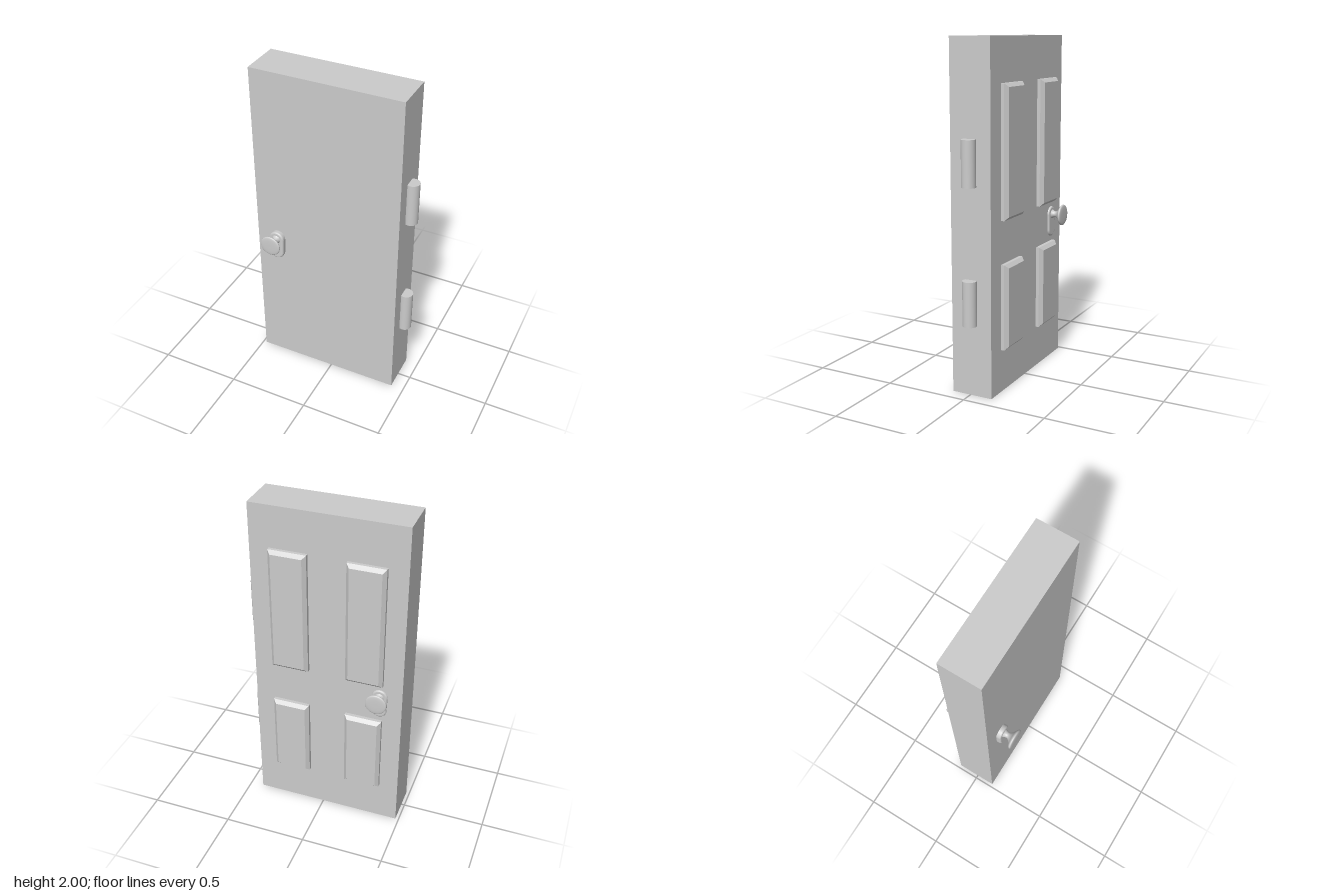
import * as THREE from 'three';

const material = new THREE.MeshStandardMaterial({ color: 0xcccccc });

function addMesh(parent, name, geometry, x = 0, y = 0, z = 0) {
  const mesh = new THREE.Mesh(geometry, material);
  mesh.name = name;
  mesh.position.set(x, y, z);
  parent.add(mesh);
  return mesh;
}

// Raised panel with a chamfered rim; its base is sunk into the slab
function panelGeometry(width, height) {
  const bevel = 0.02;
  const w = width / 2 - bevel, h = height / 2 - bevel;
  const shape = new THREE.Shape([
    new THREE.Vector2(-w, -h), new THREE.Vector2(w, -h),
    new THREE.Vector2(w, h), new THREE.Vector2(-w, h),
  ]);
  return new THREE.ExtrudeGeometry(shape, {
    depth: 0.04, bevelEnabled: true, bevelSize: bevel, bevelThickness: bevel, bevelSegments: 1,
  });
}

// Long rounded backplate, slightly narrower at the bottom
function plateGeometry() {
  const bevel = 0.01;
  const shape = new THREE.Shape();
  shape.absarc(0, 0, 0.047 - bevel, 0, Math.PI, false);
  shape.absarc(0, -0.095, 0.043 - bevel, Math.PI, Math.PI * 2, false);
  shape.closePath();
  return new THREE.ExtrudeGeometry(shape, {
    depth: 0.03, bevelEnabled: true, bevelSize: bevel, bevelThickness: bevel,
    bevelSegments: 4, curveSegments: 20,
  });
}

// Flared knob turned around its axis, with a softly domed face
function knobGeometry() {
  const flare = new THREE.SplineCurve([
    [0.034, 0.135], [0.023, 0.15], [0.018, 0.165], [0.022, 0.178], [0.037, 0.192],
    [0.056, 0.203], [0.063, 0.211], [0.06, 0.218], [0.045, 0.221], [0.02, 0.222], [0, 0.222],
  ].map(([r, d]) => new THREE.Vector2(r, d)));
  const points = flare.getPoints(40);
  points.forEach((p) => { p.x = Math.max(p.x, 0); });
  return new THREE.LatheGeometry(points, 40).rotateX(Math.PI / 2);
}

export function createModel() {
  const door = new THREE.Group();
  door.name = 'door';

  // Slab
  addMesh(door, 'doorSlab', new THREE.BoxGeometry(0.9, 2, 0.249), -0.03, 1, -0.0105);

  // Four raised panels on the back
  for (const x of [-0.255, 0.193]) {
    for (const [name, y, height] of [['upperPanel', 1.377, 0.75], ['lowerPanel', 0.502, 0.5]]) {
      addMesh(door, name, panelGeometry(0.223, height), x, y, -0.115).rotation.y = Math.PI;
    }
  }

  // Hinge barrels
  for (const [name, y] of [['upperHinge', 1.33], ['lowerHinge', 0.548]]) {
    addMesh(door, name, new THREE.CylinderGeometry(0.041, 0.041, 0.26, 32), 0.438, y, -0.01);
  }

  // Knob and backplate on both faces
  for (const [name, turn] of [['frontHandle', 0], ['backHandle', Math.PI]]) {
    const handle = new THREE.Group();
    handle.name = name;
    handle.position.set(-0.347, 0.92, -0.002);
    handle.rotation.y = turn;
    addMesh(handle, 'backplate', plateGeometry(), 0, 0, 0.104);
    addMesh(handle, 'knob', knobGeometry());
    door.add(handle);
  }
  return door;
}
